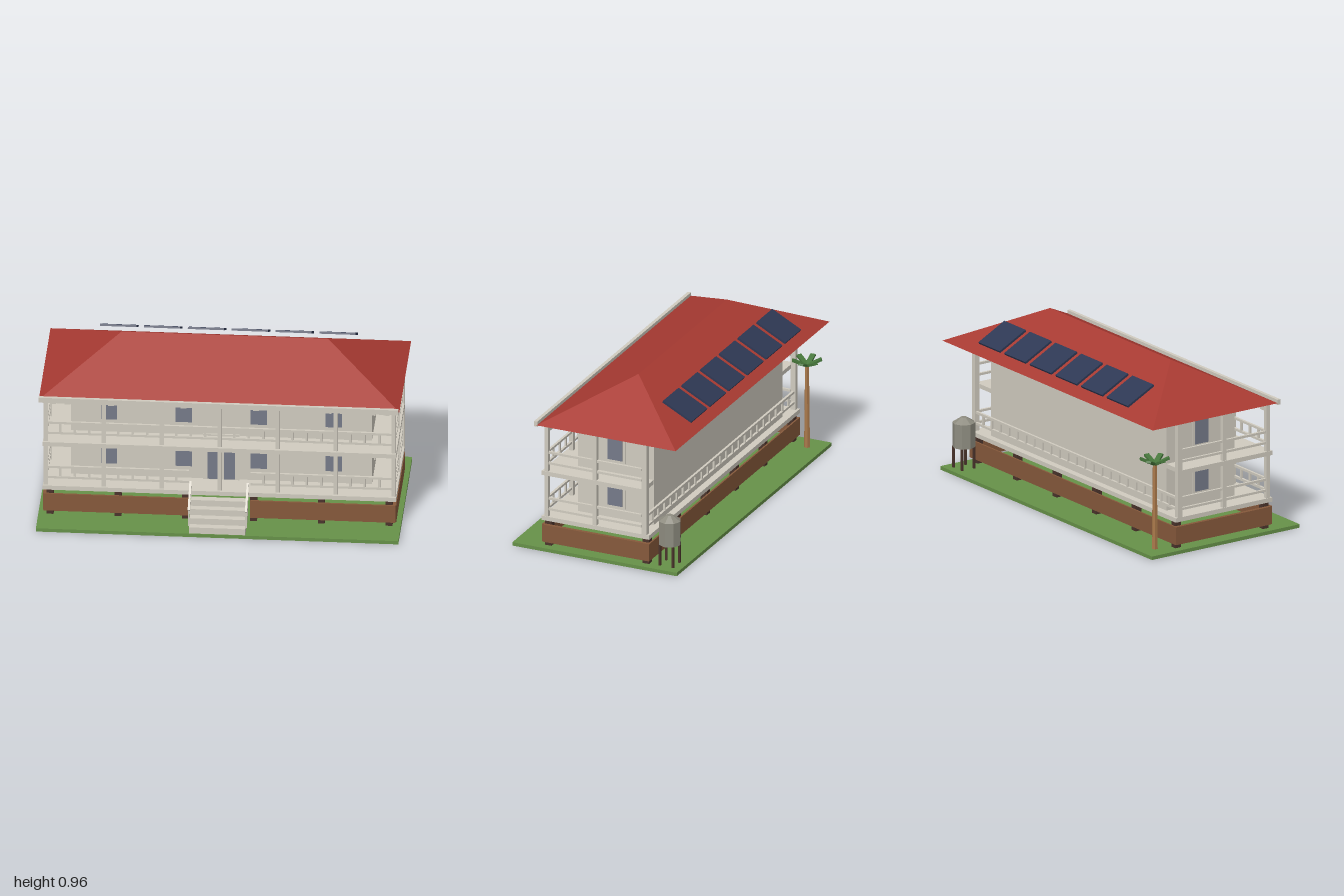
import * as THREE from 'three';
import { ConvexGeometry } from 'three/addons/geometries/ConvexGeometry.js';

const mat = (name, color) => {
  const m = new THREE.MeshStandardMaterial({ color });
  m.name = name;
  return m;
};

export function createModel() {
  const cream = mat('cream timber', 0xd0cbbf), red = mat('roof red', 0xa83a32);
  const grass = mat('grass green', 0x669148), brown = mat('skirt brown', 0x86593b);
  const dark = mat('dark timber', 0x4a332b), glass = mat('window glass', 0x757a89);
  const navy = mat('solar navy', 0x2e3854), metal = mat('tank grey', 0x8e8c80);
  const bark = mat('bark', 0xa9784a), leaf = mat('palm green', 0x45753a);
  const model = new THREE.Group();
  model.name = 'verandaHouse';

  const add = (name, geo, material, x = 0, y = 0, z = 0, parent = model) => {
    const m = new THREE.Mesh(geo, material);
    m.name = name;
    m.position.set(x, y, z);
    parent.add(m);
    return m;
  };
  // box given by its extents on each axis
  const box = (name, material, x0, x1, y0, y1, z0, z1, parent = model) =>
    add(name, new THREE.BoxGeometry(x1 - x0, y1 - y0, z1 - z0), material,
      (x0 + x1) / 2, (y0 + y1) / 2, (z0 + z1) / 2, parent);
  const group = (name) => {
    const g = new THREE.Group();
    g.name = name;
    model.add(g);
    return g;
  };

  // ground, floors and walls
  box('ground', grass, -1, 1, 0, 0.02, -0.5, 0.5);
  box('lowerDeck', cream, -0.975, 0.975, 0.175, 0.2, -0.32, 0.333);
  box('upperDeck', cream, -0.975, 0.975, 0.445, 0.47, -0.279, 0.333);
  box('walls', cream, -0.83, 0.83, 0.2, 0.745, -0.28, 0.18);

  // hipped roof with front fascia
  const E = 0.745, R = 0.965;
  add('roof', new ConvexGeometry([
    [-0.995, E, 0.355], [0.995, E, 0.355], [0.995, E, -0.49], [-0.995, E, -0.49],
    [-0.57, R, -0.065], [0.57, R, -0.065],
  ].map((p) => new THREE.Vector3(...p))), red);
  box('fascia', cream, -0.995, 0.99, 0.735, 0.765, 0.353, 0.373);

  // solar panels on the rear slope
  const panels = group('solarPanels');
  for (let i = 0; i < 6; i++) {
    const p = add('solarPanel', new THREE.BoxGeometry(0.2, 0.012, 0.198), navy,
      (i - 2.5) * 0.242, 0.845, -0.363, panels);
    p.rotation.x = -0.48;
  }

  // piers and skirt boards below the deck
  const base = group('foundation');
  for (let i = 0; i < 6; i++) for (const z of [0.303, -0.29]) {
    const x = (i - 2.5) * 0.374;
    box('pier', dark, x - 0.019, x + 0.019, 0.02, 0.175, z - 0.019, z + 0.019, base);
  }
  for (const s of [-1, 1]) {
    box('sideSkirt', brown, s * 0.965 - 0.01, s * 0.965 + 0.01, 0.045, 0.148, -0.32, 0.322, base);
    box('frontSkirt', brown, s * 0.57 - 0.4, s * 0.57 + 0.4, 0.045, 0.15, 0.322, 0.333, base);
  }
  box('backSkirt', brown, -0.955, 0.955, 0.045, 0.148, -0.32, -0.31, base);

  // veranda posts
  const posts = group('verandaPosts');
  const post = (x, z, w) =>
    box('post', cream, x - w / 2, x + w / 2, 0.2, 0.75, z - w / 2, z + w / 2, posts);
  for (let i = -3; i <= 3; i++) post(i * 0.32, 0.307, 0.024);
  for (const s of [-0.96, 0.96]) {
    post(s, 0.014, 0.024);
    post(s, -0.29, 0.03);
  }

  // railings
  const rails = group('railings');
  const railX = (x0, x1, y, z) => {
    box('topRail', cream, x0, x1, y + 0.1, y + 0.113, z - 0.007, z + 0.007, rails);
    box('bottomRail', cream, x0, x1, y + 0.037, y + 0.05, z - 0.007, z + 0.007, rails);
    for (let i = -12; i <= 12; i++) {
      const x = i * 0.08;
      if (x > x0 && x < x1) {
        box('baluster', cream, x - 0.006, x + 0.006, y + 0.045, y + 0.105, z - 0.005, z + 0.005, rails);
      }
    }
  };
  railX(-0.96, -0.17, 0.2, 0.307);
  railX(0.17, 0.96, 0.2, 0.307);
  railX(-0.96, 0.96, 0.475, 0.307);
  railX(-0.96, 0.96, 0.2, -0.293);
  for (const s of [-0.96, 0.96]) for (const y of [0.2, 0.475]) for (const h of [0.037, 0.1]) {
    box('sideRail', cream, s - 0.007, s + 0.007, y + h, y + h + 0.013, -0.268, 0.3, rails);
  }

  // hanging trim blocks between the upper posts
  const trim = group('eaveTrim');
  for (let i = 0; i < 24; i++) {
    const x = (i - 11.5) * 0.08;
    box('trimBlock', cream, x - 0.017, x + 0.017, 0.698, 0.745, 0.302, 0.312, trim);
  }

  // windows: frame plate plus glass, built facing +z and turned for the sides
  const windowAt = (x, y, z, turn) => {
    const g = group('window');
    box('windowFrame', cream, -0.06, 0.06, -0.1, 0.1, 0, 0.008, g);
    box('windowGlass', glass, -0.045, 0.045, -0.085, 0.085, 0.006, 0.011, g);
    g.position.set(x, y, z);
    g.rotation.y = turn;
  };
  for (const y of [0.362, 0.635]) {
    for (const x of [-0.62, -0.207, 0.207, 0.62]) windowAt(x, y, 0.18, 0);
    for (const s of [-1, 1]) windowAt(s * 0.83, y, -0.048, s * Math.PI / 2);
  }

  // double door
  const door = group('door');
  box('doorFrame', cream, -0.1, 0.1, 0.2, 0.48, 0.18, 0.19, door);
  for (const s of [-1, 1]) {
    box('doorGlass', glass, s * 0.045 - 0.031, s * 0.045 + 0.031, 0.205, 0.44, 0.188, 0.194, door);
  }

  // front steps with handrails
  const stairs = group('stairs');
  for (let i = 0; i < 4; i++) {
    box('step', cream, -0.155, 0.155, 0.02, 0.057 + i * 0.036, 0.333, 0.495 - i * 0.04, stairs);
  }
  for (const x of [-0.158, 0.158]) {
    for (const [z, y0, y1] of [[0.475, 0.057, 0.157], [0.414, 0.1, 0.208], [0.355, 0.165, 0.262]]) {
      box('handrailPost', cream, x - 0.005, x + 0.005, y0, y1, z - 0.005, z + 0.005, stairs);
    }
    const rail = add('handrail', new THREE.BoxGeometry(0.012, 0.011, 0.172), cream, x, 0.21, 0.414, stairs);
    rail.rotation.x = Math.atan2(0.108, 0.128);
  }

  // water tank on legs
  const tank = group('waterTank');
  const facets = (rt, rb, h, n) => new THREE.CylinderGeometry(rt, rb, h, n).toNonIndexed();
  const solid = (name, geo, m, y) => {
    geo.computeVertexNormals();
    return add(name, geo, m, 0, y, 0, tank);
  };
  solid('tankBody', facets(0.064, 0.064, 0.14, 8), metal, 0.213);
  solid('tankLid', facets(0.018, 0.064, 0.03, 8), metal, 0.298);
  for (const x of [-0.04, 0.04]) for (const z of [-0.04, 0.04]) {
    box('tankLeg', dark, x - 0.006, x + 0.006, 0.02, 0.145, z - 0.006, z + 0.006, tank);
  }
  tank.position.set(0.902, 0, -0.411);

  // palm tree with rising fronds
  const palm = group('palm');
  const trunk = facets(0.012, 0.018, 0.49, 6);
  trunk.computeVertexNormals();
  add('palmTrunk', trunk, bark, 0, 0.265, 0, palm);
  for (let i = 0; i < 6; i++) {
    const arm = new THREE.Group();
    arm.name = 'frond';
    arm.rotation.y = (i * Math.PI) / 3;
    const f = add('frondBlade', new THREE.BoxGeometry(0.085, 0.012, 0.03), leaf, 0.042, 0.525, 0, arm);
    f.rotation.z = 0.42;
    palm.add(arm);
  }
  palm.position.set(-0.89, 0, -0.402);

  return model;
}
